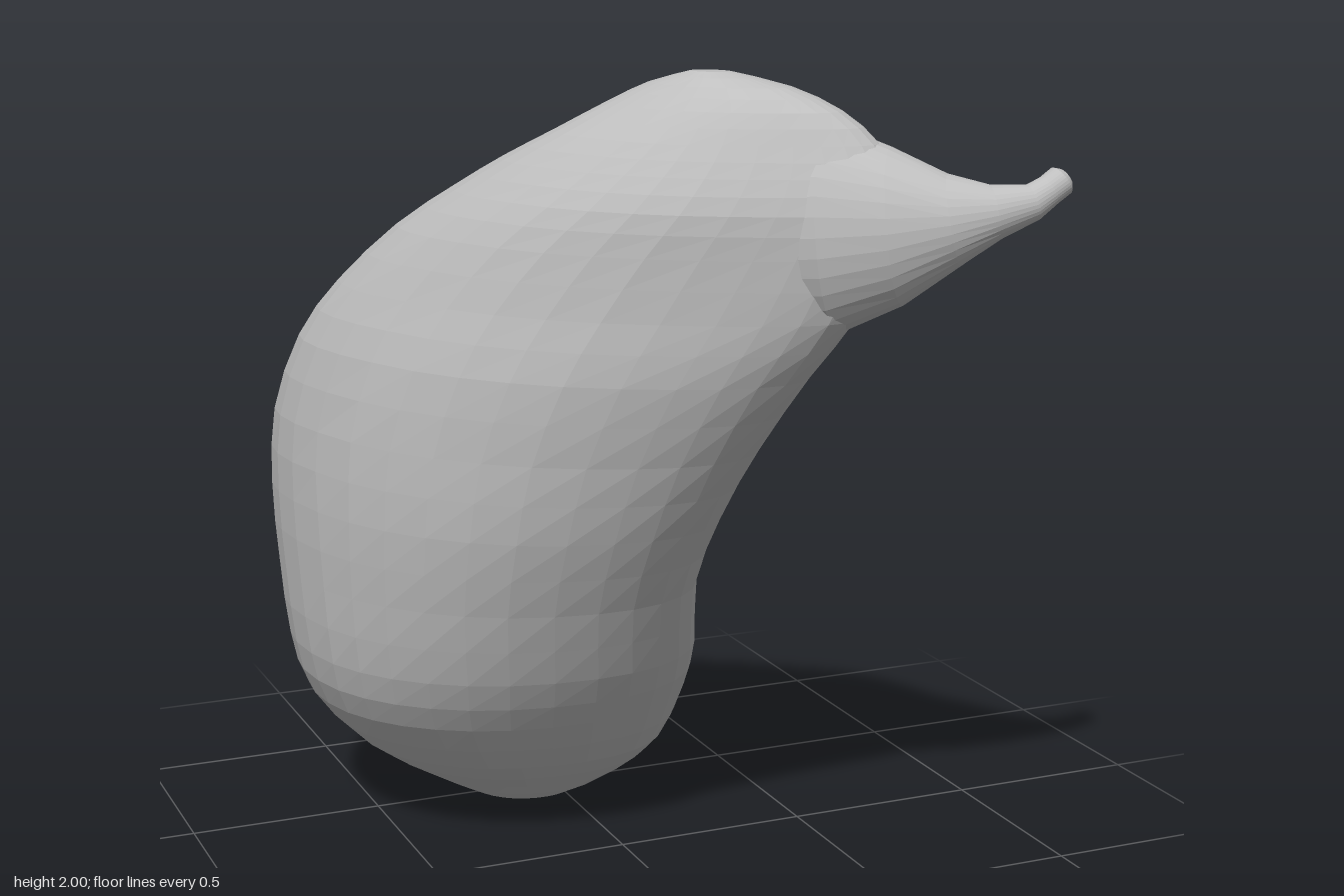
import * as THREE from 'three';

const SEGMENTS = 32;

// Skin a stack of closed rings and close both ends with fans.
function loft(rings) {
  const positions = [];
  const index = [];
  rings.forEach(ring => ring.forEach(p => positions.push(p.x, p.y, p.z)));
  for (let i = 0; i < rings.length - 1; i++) {
    for (let j = 0; j < SEGMENTS; j++) {
      const k = (j + 1) % SEGMENTS;
      const a = i * SEGMENTS + j, b = i * SEGMENTS + k;
      const c = a + SEGMENTS, d = b + SEGMENTS;
      index.push(a, c, b, b, c, d);
    }
  }
  for (const last of [false, true]) {
    const ring = last ? rings[rings.length - 1] : rings[0];
    const centre = ring.reduce((sum, p) => sum.add(p), new THREE.Vector3()).divideScalar(SEGMENTS);
    const hub = positions.length / 3;
    positions.push(centre.x, centre.y, centre.z);
    const start = last ? (rings.length - 1) * SEGMENTS : 0;
    for (let j = 0; j < SEGMENTS; j++) {
      const a = start + j, b = start + (j + 1) % SEGMENTS;
      if (last) index.push(a, hub, b);
      else index.push(a, b, hub);
    }
  }
  const geometry = new THREE.BufferGeometry();
  geometry.setAttribute('position', new THREE.Float32BufferAttribute(positions, 3));
  geometry.setIndex(index);
  geometry.computeVertexNormals();
  return geometry;
}

const ringOf = fn => Array.from({ length: SEGMENTS }, (_, j) => fn(j / SEGMENTS * Math.PI * 2));

// Insert a smoothly curved row halfway between each pair of rows.
function refine(rows) {
  const at = i => rows[Math.min(Math.max(i, 0), rows.length - 1)];
  return rows.flatMap((row, i) => i === rows.length - 1 ? [row] : [row,
    row.map((v, c) => (9 * (v + at(i + 1)[c]) - at(i - 1)[c] - at(i + 2)[c]) / 16)]);
}

// Cosine with slightly fuller shoulders.
const fullCos = t => Math.sign(Math.cos(t)) * Math.abs(Math.cos(t)) ** 0.92;

// Level slice: a full oval fitted to its x and z limits, leaning along the
// diagonal by "lean" and narrowing toward the front by "taper".
function slice([y, x0, x1, z0, z1, lean, taper]) {
  const a = (x1 - x0) / 2, b = (z1 - z0) / 2, shift = Math.acos(lean);
  return ringOf(t => {
    const dx = a * fullCos(t), dz = b * fullCos(t - shift);
    const v = (dz + dx) / 2;
    const u = (dz - dx) / 2 * (1 - taper * v / ((a + b) / 2));
    return new THREE.Vector3((x0 + x1) / 2 + v - u, y, (z0 + z1) / 2 + v + u);
  });
}

export function createModel() {
  const group = new THREE.Group();
  const skin = new THREE.MeshStandardMaterial({ color: 0xbfbfbf, flatShading: true });
  skin.name = 'grey skin';

  // Plump leaning body: y, x limits, z limits, lean, taper
  const levels = [
    [0.00, -0.17, -0.08, -0.53, -0.44, 0.15, 0],
    [0.025, -0.25, 0.03, -0.64, -0.33, 0.15, 0],
    [0.10, -0.39, 0.17, -0.75, -0.22, 0.15, 0],
    [0.20, -0.54, 0.25, -0.81, -0.10, 0.15, 0],
    [0.35, -0.67, 0.28, -0.83, 0.02, 0.15, 0],
    [0.50, -0.72, 0.27, -0.83, 0.12, 0.19, 0],
    [0.70, -0.74, 0.22, -0.825, 0.22, 0.28, 0],
    [0.90, -0.75, 0.225, -0.81, 0.33, 0.38, 0],
    [1.10, -0.74, 0.25, -0.74, 0.44, 0.51, 0.03],
    [1.30, -0.69, 0.30, -0.62, 0.56, 0.61, 0.08],
    [1.45, -0.61, 0.35, -0.49, 0.65, 0.69, 0.18],
    [1.60, -0.50, 0.38, -0.34, 0.70, 0.70, 0.25],
    [1.70, -0.40, 0.39, -0.21, 0.71, 0.68, 0.25],
    [1.78, -0.31, 0.40, -0.09, 0.69, 0.68, 0.22],
    [1.85, -0.22, 0.38, 0.03, 0.65, 0.68, 0.18],
    [1.92, -0.12, 0.31, 0.13, 0.59, 0.66, 0.1],
    [1.97, -0.04, 0.22, 0.21, 0.50, 0.6, 0],
    [2.00, 0.03, 0.11, 0.31, 0.39, 0.5, 0]
  ];
  const body = new THREE.Mesh(loft(refine(levels).map(slice)), skin);
  body.name = 'body';
  group.add(body);

  // Neck rising out of the body into a short upturned stem: centre, half width, half height
  const spine = [
    [0.05, 1.62, 0.31, 0.10, 0.16],
    [0.17, 1.64, 0.43, 0.165, 0.23],
    [0.29, 1.655, 0.55, 0.165, 0.24],
    [0.40, 1.665, 0.64, 0.13, 0.18],
    [0.50, 1.685, 0.72, 0.09, 0.105],
    [0.58, 1.705, 0.765, 0.06, 0.062],
    [0.66, 1.725, 0.788, 0.040, 0.042],
    [0.70, 1.75, 0.79, 0.034, 0.036],
    [0.73, 1.77, 0.79, 0.036, 0.036],
    [0.74, 1.777, 0.79, 0.024, 0.024]
  ];
  const centres = spine.map(([x, y, z]) => new THREE.Vector3(x, y, z));
  const neckRings = spine.map(([, , , w, h], i) => {
    const ahead = centres[Math.min(i + 1, centres.length - 1)];
    const dir = ahead.clone().sub(centres[Math.max(i - 1, 0)]).normalize();
    const side = new THREE.Vector3(-dir.z, 0, dir.x).normalize();
    const up = side.clone().cross(dir);
    return ringOf(t => centres[i].clone()
      .addScaledVector(side, w * Math.cos(t))
      .addScaledVector(up, h * Math.sin(t)));
  });
  const neck = new THREE.Mesh(loft(neckRings), skin);
  neck.name = 'neckAndStem';
  group.add(neck);

  return group;
}
